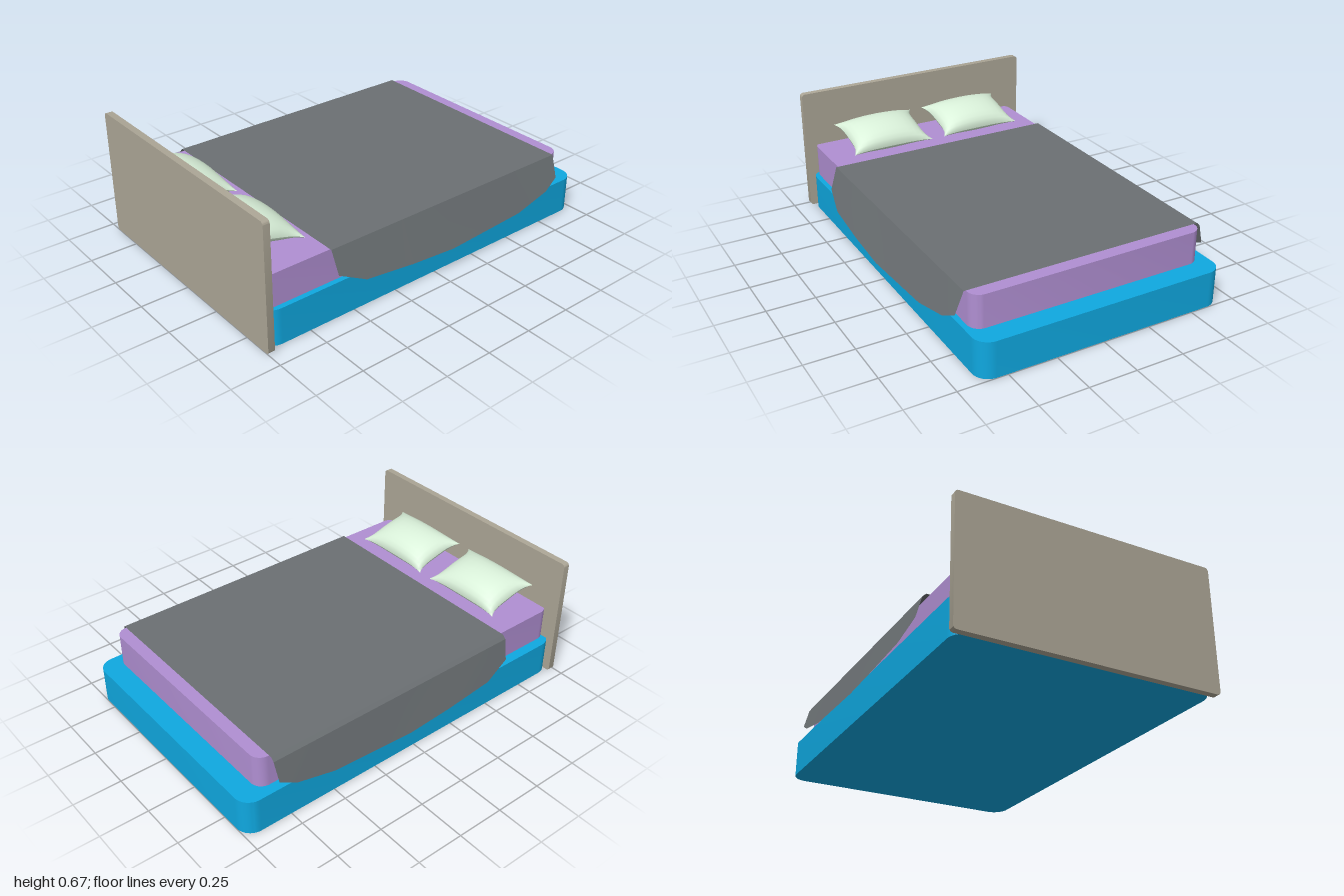
import * as THREE from 'three';
import { toCreasedNormals } from 'three/addons/utils/BufferGeometryUtils.js';

const paint = (color) => new THREE.MeshStandardMaterial({ color, side: THREE.DoubleSide });

// Rounded rectangle from (a0, b0) to (a1, b1), extruded along +z
function slab(a0, a1, b0, b1, r, depth) {
  const s = new THREE.Shape();
  s.absarc(a1 - r, b1 - r, r, 0, Math.PI / 2);
  s.absarc(a0 + r, b1 - r, r, Math.PI / 2, Math.PI);
  s.absarc(a0 + r, b0 + r, r, Math.PI, Math.PI * 1.5);
  s.absarc(a1 - r, b0 + r, r, Math.PI * 1.5, Math.PI * 2);
  s.closePath();
  const g = new THREE.ExtrudeGeometry(s, { depth, bevelEnabled: false, curveSegments: 6 });
  return toCreasedNormals(g, 0.6);
}

function add(parent, name, geometry, material) {
  const mesh = new THREE.Mesh(geometry, material);
  mesh.name = name;
  parent.add(mesh);
  return mesh;
}

// Strip of quads between two rows of points
function strip(rowA, rowB) {
  const index = [];
  for (let i = 0; i < rowA.length - 1; i++) {
    const n = rowA.length;
    index.push(i, i + n, i + 1, i + 1, i + n, i + n + 1);
  }
  const g = new THREE.BufferGeometry();
  g.setAttribute('position', new THREE.Float32BufferAttribute([...rowA, ...rowB].flat(), 3));
  g.setIndex(index);
  return toCreasedNormals(g, 0.4);
}

// One puffed face of a pillow, pinched between its four corners
function pillowFace(side, height) {
  const g = new THREE.PlaneGeometry(2, 2, 14, 12);
  g.rotateX(-side * Math.PI / 2);
  const p = g.attributes.position;
  for (let i = 0; i < p.count; i++) {
    const u = Math.sin(p.getX(i) * Math.PI / 2);
    const v = Math.sin(p.getZ(i) * Math.PI / 2);
    const puff = Math.pow(Math.max(0, (1 - u * u) * (1 - v * v)), 0.5);
    p.setXYZ(i,
      0.235 * u * (1 - 0.13 * u * u * (1 - v ** 4)),
      side * height * puff,
      0.152 * v * (1 - (v < 0 ? 0.11 : 0.04) * v * v * (1 - u ** 4)));
  }
  g.computeVertexNormals();
  return g;
}

export function createModel() {
  const bed = new THREE.Group();
  bed.name = 'bed';

  // Headboard
  add(bed, 'headboard', slab(-0.692, 0.663, 0, 0.665, 0.018, 0.035), paint(0xaca696)).position.z = 0.965;

  // Base and mattress, extruded upwards
  const base = add(bed, 'base', slab(-0.672, 0.637, -0.985, 1, 0.08, 0.188), paint(0x0fa8e0));
  const mattress = add(bed, 'mattress', slab(-0.62, 0.61, -0.985, 0.89, 0.06, 0.172), paint(0xb08fd2));
  for (const part of [base, mattress]) part.rotation.x = -Math.PI / 2;
  base.position.y = 0.002;
  mattress.position.y = 0.188;

  // Blanket: flat top and two flaps with a curved hem
  const blanket = new THREE.Group();
  blanket.name = 'blanket';
  bed.add(blanket);
  const cloth = paint(0x6b7073);
  const top = 0.363, back = -0.828, front = 0.62;
  add(blanket, 'blanketTop',
    strip([[-0.637, top, back], [0.622, top, back]], [[-0.637, top, front], [0.622, top, front]]), cloth);

  // Hem points: z, y, outward x
  const hem = [[-0.82, 0.25, 0.663], [-0.73, 0.205, 0.68], [-0.52, 0.16, 0.692], [-0.06, 0.14, 0.703],
    [0.2, 0.155, 0.698], [0.47, 0.18, 0.688], [0.61, 0.245, 0.662]];
  const edgeZ = (i) => back + (front - back) * (i === 0 ? 0 : i === hem.length - 1 ? 1 : (hem[i][0] - back) / (front - back));
  add(blanket, 'leftFlap',
    strip(hem.map((h, i) => [0.622, top, edgeZ(i)]), hem.map(([z, y, x]) => [x, y, z])), cloth);
  const fold = hem.map((h, i) => [-0.655, 0.345, edgeZ(i)]);
  add(blanket, 'rightFold', strip(hem.map((h, i) => [-0.637, top, edgeZ(i)]), fold), cloth);
  add(blanket, 'rightFlap',
    strip(fold, hem.map(([z, y, x]) => [-0.655 - (x - 0.622) * 0.68, y - 0.008, z])), cloth);

  // Pillows leaning against the headboard
  const linen = paint(0xd9f0d9);
  for (const [name, x] of [['rightPillow', -0.28], ['leftPillow', 0.26]]) {
    const pillow = new THREE.Group();
    pillow.name = name;
    add(pillow, 'pillowTop', pillowFace(1, 0.082), linen);
    add(pillow, 'pillowBottom', pillowFace(-1, 0.048), linen);
    pillow.position.set(x, 0.422, 0.813);
    pillow.rotation.x = -0.25;
    bed.add(pillow);
  }
  return bed;
}
